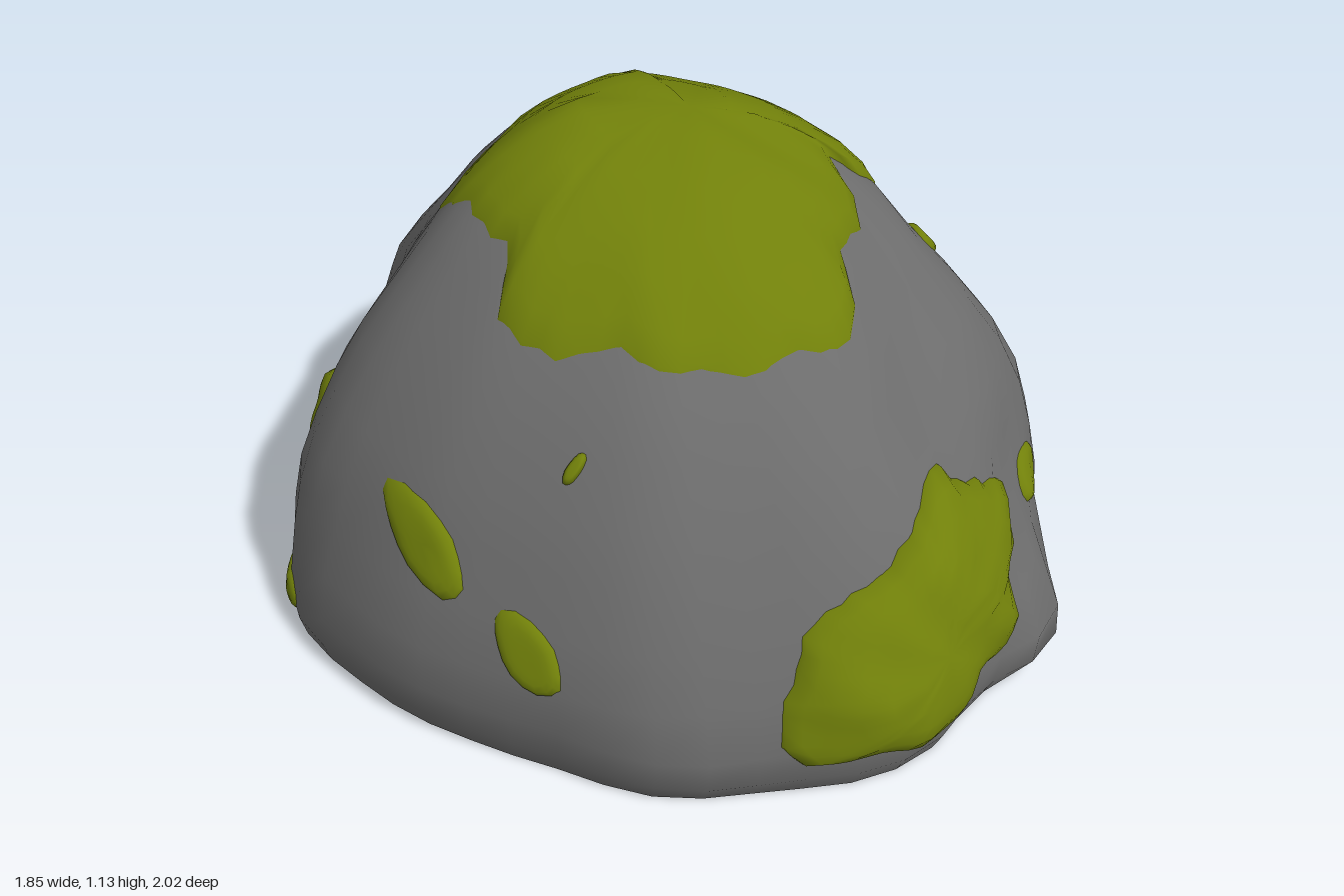
import * as THREE from 'three';

const APEX = { x: 0.04, y: 1.1, z: -0.25 };
const CORE = new THREE.Vector3(0, 0.1, -0.1);
const COLS = 52;

// Widest outline of the boulder (x, z), counter-clockwise seen from above
const OUTLINE = [
  [0.14, -1], [-0.02, -1], [-0.25, -0.95], [-0.38, -0.87], [-0.5, -0.76], [-0.64, -0.55], [-0.8, -0.37],
  [-0.9, -0.22], [-0.92, -0.05], [-0.88, 0.12], [-0.81, 0.32], [-0.71, 0.46], [-0.56, 0.63], [-0.4, 0.78],
  [-0.2, 0.86], [0.04, 0.94], [0.22, 0.92], [0.4, 0.82], [0.55, 0.7], [0.7, 0.56], [0.84, 0.42],
  [0.91, 0.2], [0.9, 0], [0.84, -0.18], [0.74, -0.43], [0.62, -0.65], [0.49, -0.83], [0.3, -0.94],
];

// Extents at each height: y, left x, right x, front z, back z
const LEVELS = [
  [0, -0.89, 0.88, 0.92, -0.96], [0.06, -0.905, 0.895, 0.95, -0.98], [0.14, -0.9, 0.905, 0.955, -1],
  [0.25, -0.885, 0.905, 0.93, -0.985], [0.36, -0.85, 0.88, 0.88, -0.965], [0.47, -0.8, 0.85, 0.82, -0.92],
  [0.58, -0.735, 0.795, 0.74, -0.865], [0.69, -0.655, 0.72, 0.65, -0.79], [0.79, -0.57, 0.64, 0.55, -0.71],
  [0.88, -0.48, 0.58, 0.42, -0.65], [0.95, -0.4, 0.5, 0.29, -0.575], [1.01, -0.31, 0.4, 0.16, -0.49],
  [1.06, -0.2, 0.27, 0, -0.41], [1.09, -0.09, 0.13, -0.13, -0.33],
];

// Lumps and hollows: x, y, z, radius, push outwards
const BUMPS = [
  [0.56, 0.08, 0.68, 0.2, 0.12], [0.38, 0.65, 0.52, 0.12, -0.05], [0.56, 0.62, 0.38, 0.15, 0.03],
  [0.78, 0.15, 0.45, 0.1, -0.03], [-0.25, 0.12, 0.82, 0.15, 0.02], [-0.55, 0.1, 0.6, 0.12, -0.02],
  [-0.3, 0.5, -0.75, 0.2, 0.02], [0.45, 0.86, 0.15, 0.12, -0.04], [0.5, 0.6, -0.6, 0.2, 0.02],
  [-0.72, 0.03, -0.42, 0.08, -0.03], [0.62, 0.34, 0.6, 0.09, -0.03],
  [0.79, 0.02, -0.3, 0.18, 0.05], [0.65, 0.02, -0.6, 0.2, 0.06], [-0.5, 0.02, -0.73, 0.15, 0.05],
];

const wobble = (x, y, z) =>
  Math.sin(7 * x + 4 * y + 1) * Math.sin(6 * z - 5 * y + 2) + 0.5 * Math.sin(13 * x - 9 * z + 11 * y);

function indexed(positions, index) {
  const geometry = new THREE.BufferGeometry();
  geometry.setAttribute('position', new THREE.Float32BufferAttribute(positions, 3));
  geometry.setIndex(index);
  geometry.computeVertexNormals();
  return geometry;
}

// Joins rings of n points each, closing on a single last point
function skin(rings, n, positions, flip) {
  const index = [];
  const tri = (a, b, c) => (flip ? index.push(a, c, b) : index.push(a, b, c));
  for (let i = 0; i < rings; i++) {
    for (let j = 0; j < n; j++) {
      const k = (j + 1) % n, a = i * n + j, b = i * n + k;
      if (i === rings - 1) tri(a, b, rings * n);
      else { tri(a, b, b + n); tri(a, b + n, a + n); }
    }
  }
  return indexed(positions, index);
}

function closedCurve(points, count) {
  const curve = new THREE.CatmullRomCurve3(points.map(([u, v]) => new THREE.Vector3(u, v, 0)), true);
  return curve.getSpacedPoints(count).slice(0, count);
}

function boulderGeometry() {
  const positions = [];
  const outline = closedCurve(OUTLINE, COLS);
  for (const [y, left, right, front, back] of LEVELS) {
    for (const p of outline) {
      const dx = p.x - APEX.x, dz = p.y - APEX.z;
      let x = APEX.x + dx * (dx > 0 ? (right - APEX.x) / 0.87 : (left - APEX.x) / -0.96);
      let z = APEX.z + dz * (dz > 0 ? (front - APEX.z) / 1.19 : (back - APEX.z) / -0.75);
      let push = 0.011 * wobble(x, y, z) * Math.min(1, (1.15 - y) * 2);
      for (const [bx, by, bz, r, amount] of BUMPS) {
        push += amount * Math.exp(-((x - bx) ** 2 + (y - by) ** 2 + (z - bz) ** 2) / (r * r));
      }
      const length = Math.hypot(x - APEX.x, z - APEX.z);
      x += (push * (x - APEX.x)) / length;
      z += (push * (z - APEX.z)) / length;
      positions.push(x, y, z);
    }
  }
  positions.push(APEX.x, APEX.y, APEX.z);
  return skin(LEVELS.length, COLS, positions, false);
}

function undersideGeometry(boulder) {
  const positions = Array.from(boulder.attributes.position.array.slice(0, COLS * 3));
  positions.push(0, 0, -0.1);
  return skin(1, COLS, positions, true);
}

// Directions from which moss outlines are laid onto the boulder
const v3 = (x, y, z) => new THREE.Vector3(x, y, z).normalize();
const SIDES = {
  top: [v3(1, 0, 0), v3(0, 0, 1), v3(0, -1, 0)],
  front: [v3(1, 0, 0), v3(0, 1, 0), v3(0, 0, -1)],
  leftSide: [v3(0, 0, 1), v3(0, 1, 0), v3(-1, 0, 0)],
  rightSide: [v3(0, 0, 1), v3(0, 1, 0), v3(1, 0, 0)],
  backCorner: [v3(-1, 0, 1), v3(0, 1, 0), v3(1, 0, 1)],
};

// Cushion of moss with a ragged rim, draped over the boulder
function mossGeometry(boulder, side, centre, points, thickness, count) {
  const [U, V, dir] = SIDES[side];
  const ray = new THREE.Raycaster();
  const rim = closedCurve(points, count);
  const ccw = !THREE.ShapeUtils.isClockWise(rim);
  const mirrored = new THREE.Vector3().crossVectors(U, V).dot(dir) > 0;
  const rings = [1, 0.97, 0.89, 0.76, 0.6, 0.42, 0.2];
  const positions = [];
  const drape = (u, v, s) => {
    const start = U.clone().multiplyScalar(u).addScaledVector(V, v).addScaledVector(dir, -3);
    ray.set(start, dir);
    const hit = ray.intersectObject(boulder)[0];
    const p = hit ? hit.point.clone() : start.addScaledVector(dir, 2.4);
    const lumps = 1 + 0.18 * wobble(2 * p.x, 2 * p.y, 2 * p.z);
    const lift = thickness * Math.sqrt(1 - s ** 5) * lumps - 0.012 * s ** 8;
    p.addScaledVector(p.clone().sub(CORE).normalize(), lift);
    positions.push(p.x, Math.max(p.y, 0.005), p.z);
  };
  for (const s of rings) {
    rim.forEach((p, j) => {
      const ragged = s * (1 + (count > 20 ? 0.03 : 0.06) * s * Math.sin(j * 2.3) * Math.sin(j * 0.9 + 1));
      drape(centre[0] + (p.x - centre[0]) * ragged, centre[1] + (p.y - centre[1]) * ragged, s);
    });
  }
  drape(centre[0], centre[1], 0);
  return skin(rings.length, count, positions, ccw === mirrored);
}

const oval = (u, v, ru, rv) =>
  Array.from({ length: 8 }, (_, i) => [u + ru * Math.cos((i * Math.PI) / 4), v + rv * Math.sin((i * Math.PI) / 4)]);

export function createModel() {
  const rock = new THREE.MeshStandardMaterial({ color: 0x6c6c6c });
  rock.name = 'grey rock';
  const moss = new THREE.MeshStandardMaterial({ color: 0x71800a });
  moss.name = 'green moss';

  const group = new THREE.Group();
  group.name = 'mossyBoulder';
  const add = (name, geometry, material) => {
    const mesh = new THREE.Mesh(geometry, material);
    mesh.name = name;
    group.add(mesh);
    return mesh;
  };

  const boulder = add('boulder', boulderGeometry(), rock);
  add('underside', undersideGeometry(boulder.geometry), rock);

  const addMoss = (name, side, centre, points, thickness, count = 56) =>
    add(name, mossGeometry(boulder, side, centre, points, thickness, count), moss);

  // Large cap with a tail running down the back
  addMoss('topMoss', 'top', [0.15, -0.15], [
    [-0.39, -0.38], [-0.28, -0.43], [-0.12, -0.47], [0.05, -0.48], [0.12, -0.54], [0.1, -0.74], [0.18, -0.82],
    [0.34, -0.76], [0.49, -0.59], [0.52, -0.42], [0.56, -0.28], [0.63, -0.2], [0.61, -0.04], [0.53, 0.02], [0.45, -0.02],
    [0.46, 0.12], [0.38, 0.22], [0.31, 0.3], [0.25, 0.46], [0, 0.5], [-0.18, 0.43], [-0.27, 0.34],
    [-0.43, 0.2], [-0.43, 0.08], [-0.38, 0], [-0.4, -0.2],
  ], 0.033, 88);
  addMoss('frontMoss', 'front', [0.2, 0.3], [
    [-0.16, 0.2], [-0.13, 0.11], [0, 0.12], [0.1, 0.11], [0.27, 0.13], [0.33, 0.17], [0.42, 0.17], [0.47, 0.22],
    [0.49, 0.31], [0.56, 0.36], [0.56, 0.43], [0.49, 0.46], [0.41, 0.51], [0.32, 0.57], [0.2, 0.52], [0.08, 0.47],
    [-0.05, 0.42], [-0.12, 0.31],
  ], 0.052);
  addMoss('leftSideMoss', 'leftSide', [-0.5, 0.18], [
    [-0.06, 0.13], [-0.07, 0.07], [-0.25, 0.06], [-0.45, 0.06], [-0.6, 0.05], [-0.73, 0.03], [-0.83, 0.04],
    [-0.83, 0.13], [-0.78, 0.23], [-0.69, 0.32], [-0.6, 0.37], [-0.5, 0.35], [-0.42, 0.27], [-0.25, 0.23], [-0.12, 0.18],
  ], 0.075);
  addMoss('backCornerMoss', 'backCorner', [0, 0.18], [
    [-0.15, 0.2], [-0.14, 0.06], [0, 0.02], [0.13, 0.05], [0.15, 0.28], [0.12, 0.38], [-0.03, 0.32],
  ], 0.085, 32);

  // Small scattered tufts: side, centre, radii
  const tufts = [
    ['front', -0.695, 0.45, 0.05, 0.1], ['front', -0.58, 0.31, 0.05, 0.085], ['front', 0.72, 0.32, 0.055, 0.055],
    ['leftSide', 0.07, 0.74, 0.055, 0.035], ['rightSide', -0.18, 0.07, 0.1, 0.05], ['top', -0.41, 0.43, 0.03, 0.015],
  ];
  tufts.forEach(([side, u, v, ru, rv], i) =>
    addMoss(`mossTuft${i + 1}`, side, [u, v], oval(u, v, ru, rv), 0.014, 16));

  return group;
}
